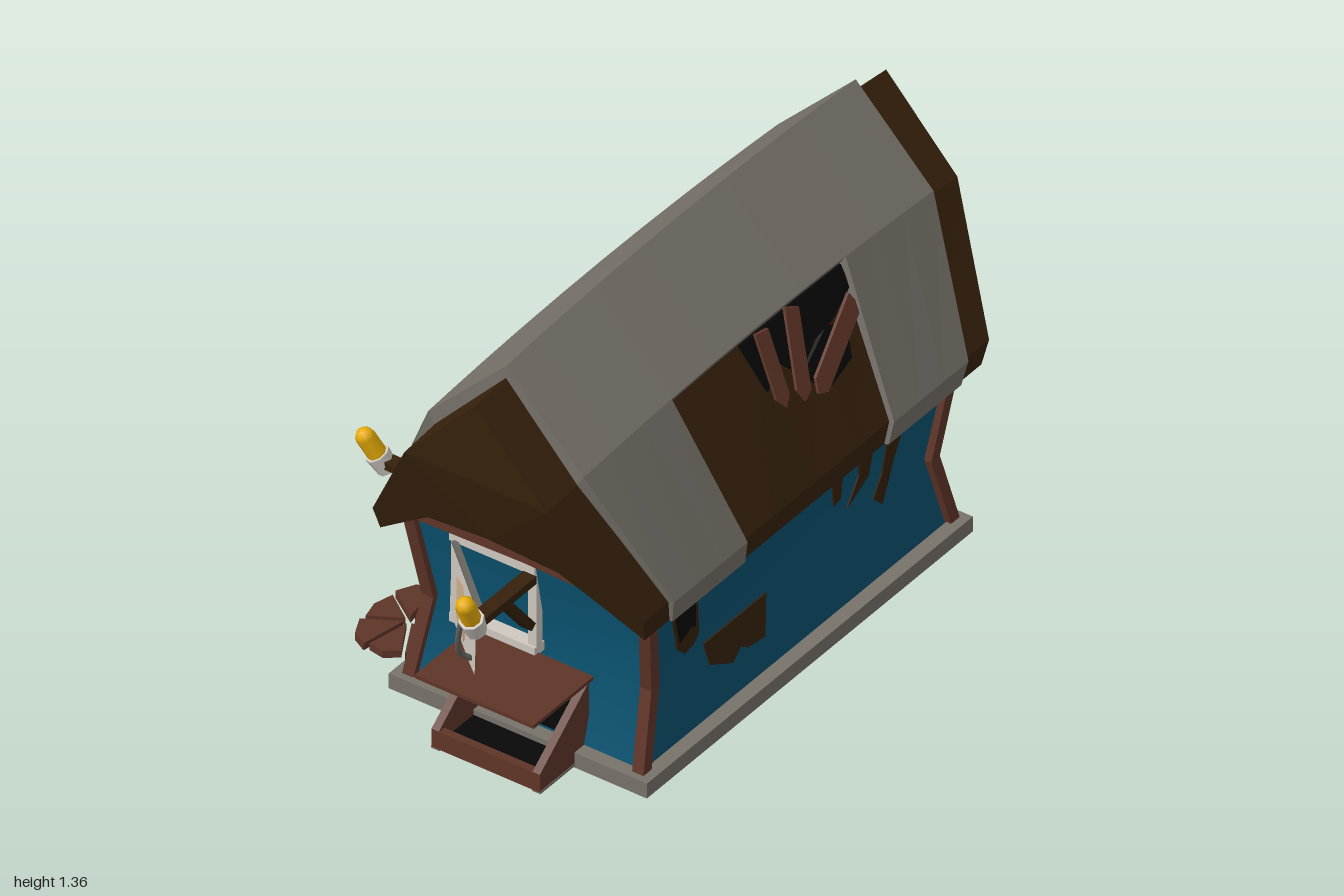
import * as THREE from 'three';

const CX = 0.04, CZ = 0.115; // centre of the house body
const mat = (name, color, side = THREE.FrontSide) => {
  const m = new THREE.MeshStandardMaterial({ color, side });
  m.name = name;
  return m;
};

export function createModel() {
  const root = new THREE.Group();
  root.name = 'cottage';
  const teal = mat('teal wall', 0x0a5270, THREE.DoubleSide);
  const grey = mat('grey stone', 0x77726a);
  const brown = mat('dark brown wood', 0x36210c);
  const red = mat('reddish wood', 0x5f3528);
  const black = mat('black hole', 0x080808);
  const yellow = mat('yellow lamp', 0xe8ac08);
  const pale = mat('pale frame', 0xcfc8c0);
  const steel = mat('door grey', 0x65635d);
  const beige = mat('beige stain', 0xcdae8c);

  const add = (name, geo, m, parent = root) => {
    const mesh = new THREE.Mesh(geo, m);
    mesh.name = name;
    parent.add(mesh);
    return mesh;
  };
  const box = (name, m, w, h, d, x, y, z, parent) => {
    const b = add(name, new THREE.BoxGeometry(w, h, d), m, parent);
    b.position.set(x, y, z);
    return b;
  };
  // straight timber between two points
  const beam = (name, m, a, b, w, d = w, parent) => {
    const p = new THREE.Vector3(...a), q = new THREE.Vector3(...b);
    const t = add(name, new THREE.BoxGeometry(w, p.distanceTo(q), d), m, parent);
    t.position.copy(p).add(q).multiplyScalar(0.5);
    t.quaternion.setFromUnitVectors(new THREE.Vector3(0, 1, 0), q.sub(p).normalize());
  };
  const shape = pts => new THREE.Shape(pts.map(p => new THREE.Vector2(...p)));
  const plate = (pts, depth) => new THREE.ExtrudeGeometry(shape(pts), { depth, bevelEnabled: false });
  const surface = (pos, idx, smooth) => {
    let g = new THREE.BufferGeometry();
    g.setAttribute('position', new THREE.Float32BufferAttribute(pos, 3));
    g.setIndex(idx);
    if (!smooth) g = g.toNonIndexed();
    g.computeVertexNormals();
    return g;
  };

  // sweep a closed section [dz, y, half length] along the ridge, with a slight camber
  const loft = (pts, u0, u1, steps, capTris) => {
    const n = pts.length, pos = [], idx = [];
    for (let k = 0; k <= steps; k++) {
      const u = u0 + (u1 - u0) * k / steps;
      for (const [dz, y, h] of pts) pos.push(CX + u * h, y + (y > 1 ? 0.04 * (1 - u * u) : 0), CZ + dz);
    }
    for (let k = 0; k < steps; k++) for (let i = 0; i < n; i++) {
      const a = k * n + i, b = k * n + (i + 1) % n;
      idx.push(a, b, a + n, b, b + n, a + n);
    }
    const v = pts.map(p => new THREE.Vector2(p[0], p[1]));
    for (const [a, b, c] of capTris ?? THREE.ShapeUtils.triangulateShape(v, [])) {
      const area = (v[b].x - v[a].x) * (v[c].y - v[a].y) - (v[b].y - v[a].y) * (v[c].x - v[a].x);
      const [p, q] = area > 0 ? [b, c] : [c, b];
      const e = steps * n;
      idx.push(a, p, q, e + a, e + q, e + p); // near cap, far cap
    }
    return surface(pos, idx, false);
  };
  const mirrorPts = half => [...half.slice(1).reverse().map(([a, b, c]) => [-a, b, c]), ...half];
  const shell = (a, b) => [...mirrorPts(a), ...mirrorPts(b).reverse()];

  // roof body with arched underside
  const outer = [[0, 1.28, 0.957], [0.24, 1.02, 0.957], [0.455, 0.65, 0.807], [0.445, 0.575, 0.785]];
  const arch = [[0, 0.795, 0.9], [0.22, 0.76, 0.875], [0.33, 0.67, 0.83]];
  const gableTris = [[2, 3, 4], [2, 4, 9], [4, 8, 9], [4, 5, 8], [5, 7, 8], [5, 6, 7],
    [2, 9, 10], [2, 10, 1], [1, 10, 11], [1, 11, 0]];
  add('roof', loft(shell(outer, arch), -1, 1, 8, gableTris), brown);
  // grey covering: full side panels and a short panel over the ridge
  const cover = [[0, 1.32, 0.957], [0.262, 1.055, 0.957], [0.472, 0.655, 0.807], [0.458, 0.577, 0.79]];
  for (const [a, b] of [[-0.852, -0.423], [0.423, 0.852]])
    add('roofSidePanel', loft(shell(cover, outer), a, b, 3), grey);
  add('roofRidgePanel', loft(shell(cover.slice(0, 2), outer.slice(0, 2)), -0.423, 0.423, 4), grey);

  // boarded holes on both slopes
  const onRoof = (pts, lift) => {
    const g = plate(pts, 0.009), p = g.attributes.position;
    for (let i = 0; i < p.count; i++) p.setZ(i, p.getZ(i) + CZ + 0.24 + (1.06 - p.getY(i)) * 0.524 + lift);
    g.computeVertexNormals();
    return g;
  };
  const strip = (a, b, w) => {
    const d = new THREE.Vector2(b[0] - a[0], b[1] - a[1]).normalize().multiplyScalar(w / 2);
    return [[a[0] + d.y, a[1] - d.x], [b[0] + d.y, b[1] - d.x], [b[0] + d.x, b[1] + d.y],
      [b[0] - d.y, b[1] + d.x], [a[0] - d.y, a[1] + d.x]];
  };
  for (const s of [1, -1]) {
    const g = new THREE.Group();
    g.name = 'roofHole';
    add('holeLeft', onRoof([[-0.03, 1.06], [0.0, 0.92], [0.08, 0.96], [0.14, 0.9], [0.24, 0.95],
      [0.33, 0.96], [0.44, 1.0], [0.44, 1.06]], 0.001), black, g);
    add('holeRight', onRoof([[0.15, 0.9], [0.2, 0.82], [0.34, 0.85], [0.37, 0.92], [0.3, 0.96]], 0.001), black, g);
    for (const [a, b] of [[[0.06, 1.06], [0.037, 0.89]], [[0.2, 1.06], [0.12, 0.87]], [[0.43, 0.97], [0.19, 0.85]]])
      add('roofPlank', onRoof(strip(a, b, 0.055), 0.01), red, g);
    if (s < 0) { g.scale.z = -1; g.position.z = 2 * CZ; }
    root.add(g);
  }

  // pinched walls, each smooth from bottom to top
  const levels = [[0.05, 0.72, 0.385], [0.31, 0.65, 0.362], [0.63, 0.71, 0.4]];
  const corners = [[1, 1], [1, -1], [-1, -1], [-1, 1]];
  corners.forEach((c, i) => {
    const pos = [];
    for (const [y, hx, hz] of levels)
      for (const [sx, sz] of [c, corners[(i + 1) % 4]]) pos.push(CX + sx * hx, y, CZ + sz * hz);
    add('wall', surface(pos, [0, 1, 3, 0, 3, 2, 2, 3, 5, 2, 5, 4], true), teal);
  });
  const wallZ = y => y < 0.31 ? 0.385 - (y - 0.05) * 0.088 : 0.362 + (y - 0.31) * 0.119;

  // base frame
  for (const s of [-1, 1]) {
    box('baseLong', grey, 1.52, 0.05, 0.045, CX, 0.045, CZ + s * 0.412);
    box('baseShort', grey, 0.045, 0.05, 0.78, CX + s * 0.737, 0.045, CZ);
  }
  // corner posts, end beams and gable infill
  for (const sx of [-1, 1]) {
    for (const sz of [-1, 1]) {
      const P = (x, y, z) => [CX + sx * x, y, CZ + sz * z];
      beam('cornerPost', red, P(0.72, 0.06, 0.388), P(0.652, 0.31, 0.367), 0.038);
      beam('cornerPost', red, P(0.652, 0.305, 0.367), P(0.712, 0.64, 0.402), 0.038);
      beam('endBeam', red, P(0.715, 0.632, 0.41), P(0.715, 0.642, -0.005), 0.04, 0.05);
    }
    const gable = add('gableWall', new THREE.ShapeGeometry(shape([[-0.4, 0.62], [0.4, 0.62], [0.33, 0.7],
      [0.2, 0.79], [0, 0.82], [-0.2, 0.79], [-0.33, 0.7]])), teal);
    gable.rotation.y = Math.PI / 2;
    gable.position.set(CX + sx * 0.7, 0, CZ);
  }
  // back wall posts
  for (const x of [0.46, -0.18]) {
    beam('backPost', red, [x, 0.06, CZ - 0.392], [x, 0.31, CZ - 0.37], 0.035);
    beam('backPost', red, [x, 0.305, CZ - 0.37], [x, 0.62, CZ - 0.405], 0.035);
  }

  // worn patches on the walls
  const patch = (pts, m, s, lift = 0) => {
    const g = plate(pts, 0.009), p = g.attributes.position;
    for (let i = 0; i < p.count; i++) p.setZ(i, p.getZ(i) - 0.0045 + CZ + s * (wallZ(p.getY(i)) + lift));
    g.computeVertexNormals();
    add('wallPatch', g, m);
  };
  const gash = [[-0.57, 0.6], [-0.44, 0.6], [-0.39, 0.36], [-0.41, 0.33], [-0.45, 0.32], [-0.49, 0.36]];
  const gashHole = [[-0.56, 0.6], [-0.45, 0.6], [-0.415, 0.4], [-0.44, 0.41], [-0.485, 0.38]];
  patch(gash, brown, 1);
  patch(gashHole, black, 1, 0.003);
  patch([[0.17, 0.6], [0.25, 0.6], [0.26, 0.43], [0.23, 0.42], [0.21, 0.5]], brown, 1);
  patch([[0.32, 0.6], [0.4, 0.6], [0.39, 0.43], [0.3, 0.37], [0.34, 0.46]], brown, 1);
  patch([[0.47, 0.6], [0.56, 0.58], [0.51, 0.42], [0.47, 0.28], [0.43, 0.32], [0.46, 0.4]], brown, 1);
  patch([[-0.36, 0.3], [-0.07, 0.3], [-0.09, 0.17], [-0.17, 0.18], [-0.2, 0.2], [-0.24, 0.17], [-0.3, 0.2], [-0.34, 0.22]], brown, 1);
  patch(gash.map(([x, y]) => [x + 1.08, y]), brown, -1);
  patch(gashHole.map(([x, y]) => [x + 1.08, y]), black, -1, 0.003);
  patch([[-0.4, 0.6], [-0.3, 0.6], [-0.31, 0.45], [-0.36, 0.38], [-0.35, 0.48]], brown, -1);
  patch([[-0.62, 0.6], [-0.52, 0.6], [-0.53, 0.44], [-0.58, 0.36], [-0.57, 0.48]], brown, -1);

  // rounded vault-like door leaning outward
  const rounded = (w, h, r) => {
    const s = new THREE.Shape(), x = w / 2 - r, y = h / 2 - r;
    s.absarc(x, y, r, 0, Math.PI / 2).absarc(-x, y, r, Math.PI / 2, Math.PI);
    return s.absarc(-x, -y, r, Math.PI, Math.PI * 1.5).absarc(x, -y, r, Math.PI * 1.5, Math.PI * 2);
  };
  const door = new THREE.Group();
  door.name = 'door';
  const ex = (s, depth) => new THREE.ExtrudeGeometry(s, { depth, bevelEnabled: false, curveSegments: 6 });
  add('doorSlab', ex(rounded(0.26, 0.47, 0.1), 0.03), steel, door);
  const rim = rounded(0.23, 0.43, 0.09);
  rim.holes.push(rounded(0.18, 0.38, 0.07));
  add('doorRim', ex(rim, 0.045), steel, door);
  add('doorWheel', new THREE.TorusGeometry(0.045, 0.009, 6, 16), steel, door).position.z = 0.05;
  for (let i = 0; i < 3; i++)
    box('wheelSpoke', steel, 0.09, 0.012, 0.012, 0, 0, 0.045, door).rotation.z = i * Math.PI / 3;
  door.position.set(-0.045, 0.32, -0.295);
  door.rotation.set(0.1, Math.PI, 0, 'YXZ');
  root.add(door);

  // windows with an open, sagging shutter and a bent handle; local +z points outward
  const windowUnit = (x, z, turn, open) => {
    const g = new THREE.Group();
    g.name = 'window';
    for (const s of [-1, 1]) {
      box('frameSide', pale, 0.028, 0.3, 0.03, s * 0.13, 0, 0, g);
      box('frameRail', pale, 0.288, 0.03, 0.045, 0, s * 0.137, 0, g);
    }
    const shutter = new THREE.Group();
    shutter.name = 'shutter';
    add('shutterPanel', new THREE.PlaneGeometry(0.28, 0.25), pale, shutter).position.x = 0.14;
    add('shutterStain', plate([[0.07, 0.06], [0.08, -0.08], [0.16, -0.1], [0.17, 0.02], [0.13, 0.08]], 0.003), beige, shutter);
    const path = new THREE.CatmullRomCurve3([[0.25, 0.11, 0], [0.262, 0.09, 0.03], [0.262, 0.02, 0.045],
      [0.245, -0.06, 0.035], [0.24, -0.09, 0]].map(p => new THREE.Vector3(...p)));
    add('shutterHandle', new THREE.TubeGeometry(path, 10, 0.009, 5), steel, shutter);
    box('shutterEdge', steel, 0.28, 0.01, 0.018, 0.14, 0.125, -0.008, shutter);
    shutter.position.set(-0.14, 0, 0.02);
    shutter.rotation.set(0, -open, -0.1, 'YXZ');
    g.add(shutter);
    g.position.set(x, 0.44, z);
    g.rotation.y = turn;
    root.add(g);
  };
  windowUnit(0.3, -0.275, Math.PI, 0.87);
  windowUnit(-0.645, -0.01, -Math.PI / 2, 0.7);

  // slatted steps leaning below the back window
  for (let i = 0; i < 4; i++)
    beam('slat', red, [0.2 + i * 0.055, 0.27 - (i % 2) * 0.03, -0.285], [0.19 + i * 0.062, 0.04, -0.41], 0.036, 0.014);
  beam('slatRail', red, [0.16, 0.06, -0.385], [0.4, 0.06, -0.385], 0.03, 0.02);
  beam('looseSlat', red, [0.34, 0.1, -0.3], [0.3, 0.035, -0.45], 0.03, 0.02);

  // wedge-shaped cellar hatch with raised lid
  for (const z of [-0.06, 0.28]) {
    add('hatchSide', plate([[-0.88, 0.03], [-0.65, 0.03], [-0.65, 0.27], [-0.88, 0.09]], 0.025), red).position.z = z;
    box('hatchFoot', grey, 0.23, 0.008, 0.028, -0.765, 0.029, z + 0.0125);
  }
  box('hatchFront', red, 0.025, 0.06, 0.36, -0.868, 0.06, 0.12);
  box('hatchInside', black, 0.2, 0.02, 0.32, -0.76, 0.042, 0.12);
  box('hatchBack', black, 0.01, 0.2, 0.32, -0.668, 0.15, 0.12);
  box('hatchLid', red, 0.28, 0.012, 0.4, -0.79, 0.288, 0.12);

  // wall lamps on timber brackets; local +z points outward
  const lamp = (x, z, turn, reach, lean) => {
    const g = new THREE.Group();
    g.name = 'lamp';
    beam('lampArm', brown, [0, 0.555, 0], [0, 0.555, reach - 0.02], 0.045, 0.025, g);
    beam('lampBrace', brown, [0, 0.4, 0.01], [0, 0.55, 0.13], 0.04, 0.025, g);
    const head = new THREE.Group();
    head.name = 'lampHead';
    add('lampCup', new THREE.CylinderGeometry(0.037, 0.031, 0.06, 8), pale, head);
    add('lampGlow', new THREE.CapsuleGeometry(0.029, 0.065, 3, 8), yellow, head).position.y = 0.062;
    head.position.set(0, 0.55, reach);
    head.rotation.set(0.42, 0, lean);
    g.add(head);
    g.position.set(x, 0, z);
    g.rotation.y = turn;
    root.add(g);
  };
  lamp(-0.465, -0.285, Math.PI, 0.24, -0.3);
  lamp(-0.67, 0.12, -Math.PI / 2, 0.262, 0);

  // broken round slab lying behind the house
  for (let i = 0; i < 7; i++) {
    const a = i * Math.PI * 2 / 7 + 0.2, r = i % 2 ? 0.155 : 0.17;
    const pt = (t, k) => [Math.cos(t) * k, Math.sin(t) * k * 0.75];
    const piece = add('slabPiece', plate([pt(a + 0.44, 0.02), pt(a + 0.03, r), pt(a + 0.45, r + 0.008), pt(a + 0.84, r)], 0.024), red);
    piece.rotation.x = -Math.PI / 2;
    piece.position.set(-0.435, 0, -0.455);
  }
  return root;
}
